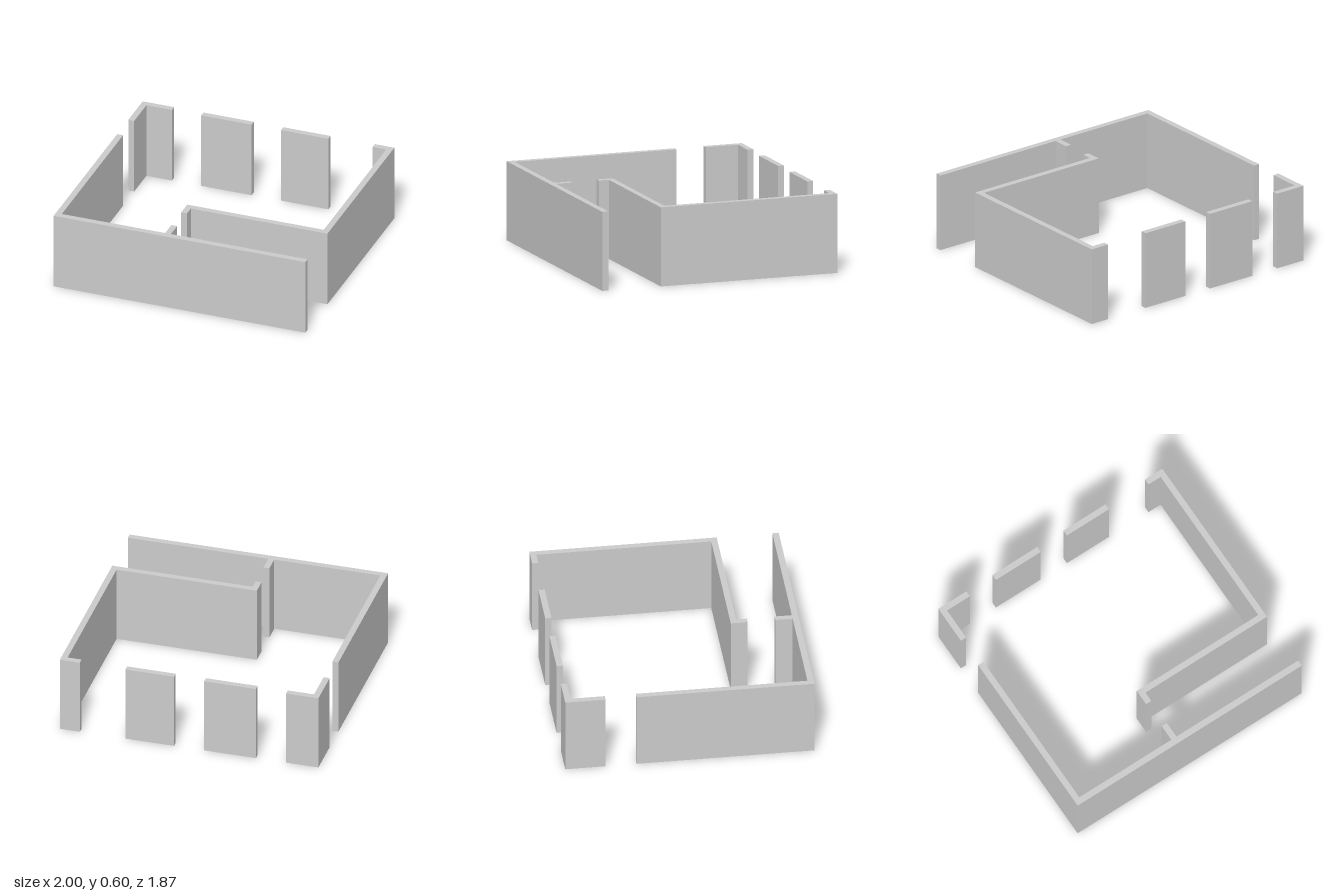
import * as THREE from 'three';

const HEIGHT = 0.6;
const X = 1, XI = 0.953;        // outer and inner faces of the side walls
const BACK = -0.935, BACK_I = -0.888; // faces of the back wall
const FRONT = 0.935, FRONT_I = 0.887; // faces of the front wall

export function createModel() {
  const model = new THREE.Group();
  model.name = 'floorPlanWalls';
  const material = new THREE.MeshStandardMaterial({ color: 0xcccccc });

  // Raises a plan outline of [x, z] corners to the full wall height
  function wall(name, outline) {
    const shape = new THREE.Shape(outline.map(([x, z]) => new THREE.Vector2(x, -z)));
    const geometry = new THREE.ExtrudeGeometry(shape, { depth: HEIGHT, bevelEnabled: false });
    geometry.rotateX(-Math.PI / 2);
    const mesh = new THREE.Mesh(geometry, material);
    mesh.name = name;
    model.add(mesh);
  }
  const rect = (x0, x1, z0, z1) => [[x0, z1], [x1, z1], [x1, z0], [x0, z0]];

  // Long front wall, and the right side wall up to its doorway
  wall('frontWall', rect(-X, X, FRONT_I, FRONT));
  wall('rightWall', rect(-X, -XI, -0.4, FRONT_I));

  // Back right corner
  wall('backRightCorner', [
    [-X, -0.632], [-XI, -0.632], [-XI, BACK_I], [-0.75, BACK_I], [-0.75, BACK], [-X, BACK],
  ]);

  // Free-standing back panels between the openings
  [[-0.517, -0.117], [0.117, 0.493]].forEach(([x0, x1], i) =>
    wall(`backPanel${i + 1}`, rect(x0, x1, BACK, BACK_I)));

  // Continuous wall: back left return, left side, inner wall and door jamb
  wall('leftAndInnerWall', [
    [0.845, BACK], [X, BACK], [X, 0.47], [-0.086, 0.47], [-0.086, 0.549],
    [-0.132, 0.549], [-0.132, 0.423], [XI, 0.423], [XI, BACK_I], [0.845, BACK_I],
  ]);

  // Opposite door jamb against the front wall
  wall('doorJamb', rect(-0.132, -0.086, 0.757, FRONT_I));

  return model;
}
